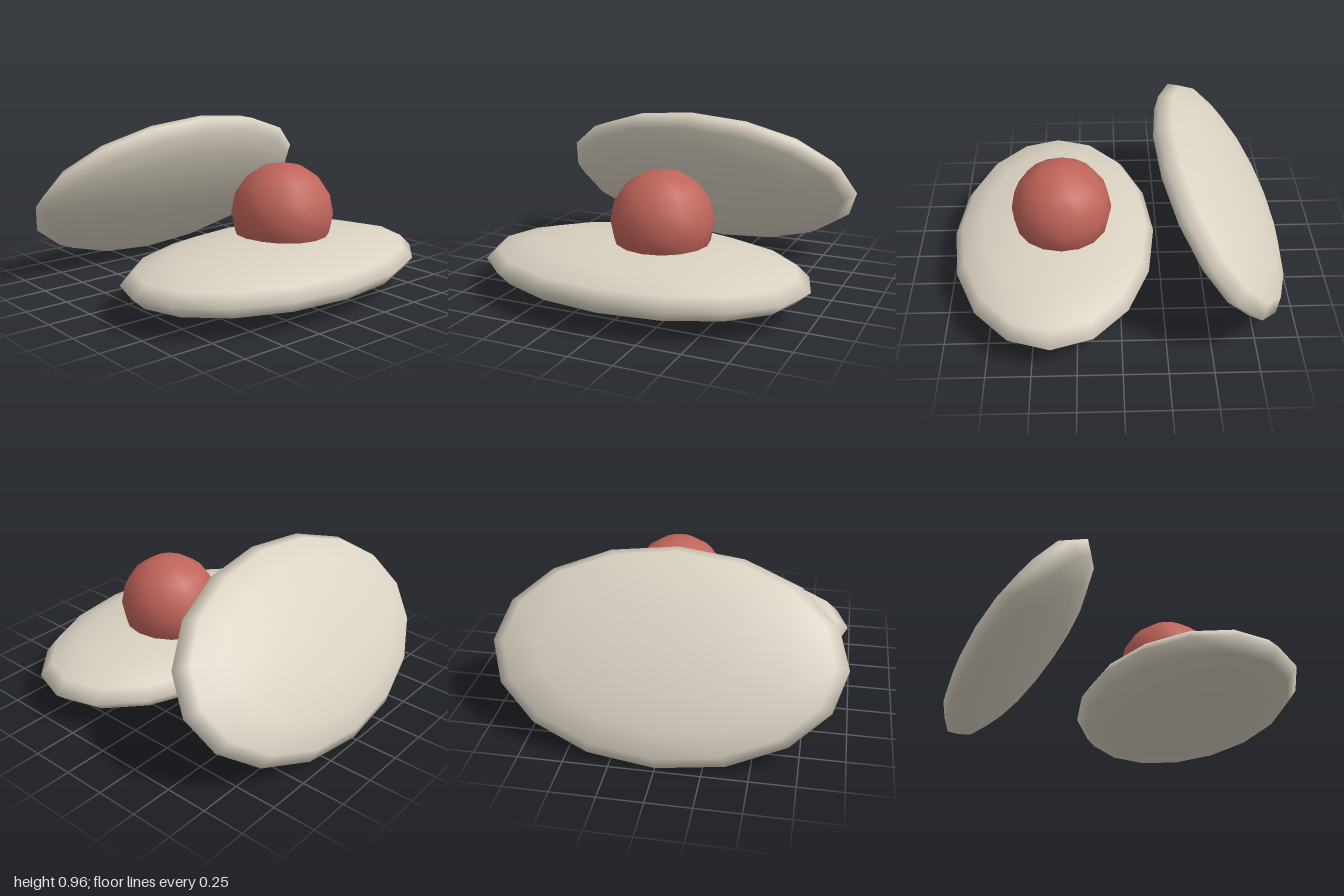
import * as THREE from 'three';

export function createModel() {
  const group = new THREE.Group();
  const shellMaterial = new THREE.MeshStandardMaterial({ color: 0xd9d1c1 });
  shellMaterial.name = 'shellCream';
  const pearlMaterial = new THREE.MeshStandardMaterial({ color: 0xc0645a });
  pearlMaterial.name = 'pearlRed';

  // Smooth low-poly ellipsoid with the given half-sizes
  function ellipsoid(name, material, [rx, ry, rz], [x, y, z]) {
    const geometry = new THREE.SphereGeometry(1, 16, 8);
    geometry.scale(rx, ry, rz);
    const mesh = new THREE.Mesh(geometry, material);
    mesh.name = name;
    mesh.position.set(x, y, z);
    group.add(mesh);
    return mesh;
  }

  // Two matching shell halves: one lying flat, one leaning open behind it
  const shellSize = [0.98, 0.173, 0.606];
  ellipsoid('lowerShell', shellMaterial, shellSize, [0, 0.19, 0.39]);
  const upperShell = ellipsoid('upperShell', shellMaterial, shellSize, [0, 0.487, -0.6]);
  upperShell.rotation.x = THREE.MathUtils.degToRad(-51.5);

  // Ball resting in the lower shell
  ellipsoid('pearl', pearlMaterial, [0.294, 0.294, 0.294], [0.097, 0.464, 0.337]);

  return group;
}
